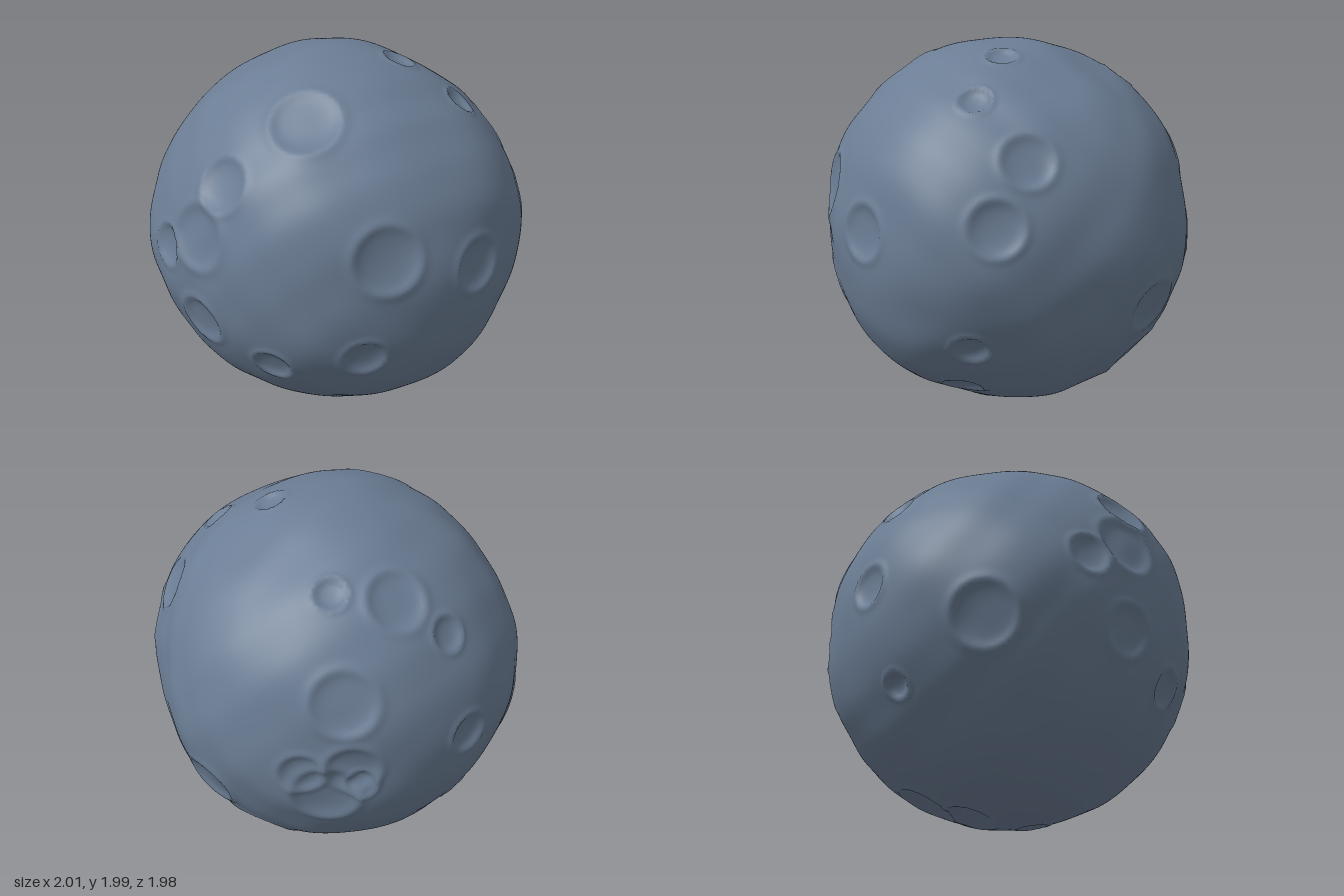
import * as THREE from 'three';
import { mergeVertices } from 'three/addons/utils/BufferGeometryUtils.js';

// Craters: direction from the centre, then radius
const CRATERS = [
  // front
  [0.025, 0.79, 0.585, 0.175], [-0.33, 0.5, 0.78, 0.14], [-0.45, 0.23, 0.84, 0.17],
  [-0.66, 0.1, 0.72, 0.11], [0.5, 0.23, 0.8, 0.175], [0.87, 0.09, 0.45, 0.145],
  [-0.91, -0.25, 0.28, 0.165], [-0.45, -0.24, 0.83, 0.135], [-0.06, -0.4, 0.88, 0.105],
  [0.4, -0.31, 0.83, 0.115],
  // left side
  [0.31, 0.92, -0.08, 0.085], [0.64, 0.74, -0.06, 0.085], [0.74, 0.47, -0.37, 0.14],
  [0.93, 0.18, -0.28, 0.14], [0.84, -0.475, -0.105, 0.1], [0.555, -0.79, 0.05, 0.115],
  [0.14, -0.97, 0.075, 0.085],
  // top and back
  [-0.24, 0.78, -0.54, 0.085], [-0.52, 0.73, -0.39, 0.155], [-0.74, 0.54, -0.29, 0.095],
  [-0.43, 0.36, -0.79, 0.17], [-0.91, 0.03, -0.35, 0.115], [-0.82, -0.49, -0.23, 0.07],
  [0.29, -0.32, -0.89, 0.15], [0.085, -0.67, -0.74, 0.16],
  // underside
  [-0.11, -0.95, -0.46, 0.17], [-0.11, -1, -0.17, 0.135],
  // overlapping cluster
  [-0.27, -0.03, -0.94, 0.12], [-0.5, 0, -0.84, 0.145], [-0.375, -0.17, -0.89, 0.175],
  [-0.54, -0.1, -0.81, 0.08],
].map(([x, y, z, r]) => ({ dir: new THREE.Vector3(x, y, z).normalize(), r }));

// Broad swells and hollows: direction, then height
const LUMPS = [
  [0.82, -0.6, 0.32, 0.032], [0.82, -0.53, -0.2, -0.035], [-0.78, -0.6, 0, -0.025],
  [0.38, 0.87, 0, -0.01], [-0.47, 0.84, 0, -0.012], [0.88, 0.46, 0.12, 0.025],
  [0.5, -0.83, 0, -0.04], [0, 0.45, 0.9, 0.03], [0, 0.85, 0.5, 0.012],
  [0, -0.75, 0.65, -0.02], [0, 0.8, -0.55, -0.015], [0.36, 0.85, -0.42, -0.03],
  [0.66, 0.25, -0.7, -0.03], [0.66, -0.25, -0.7, -0.03], [0.5, 0, 0.82, -0.02],
  [0.8, 0.05, -0.58, -0.025], [0.74, 0.5, -0.38, -0.018], [-0.29, -0.88, -0.37, -0.025],
  [-0.85, 0, 0.52, 0.037], [-0.8, 0, -0.55, -0.016], [-0.37, 0.1, -0.93, -0.027],
  [-0.74, 0.56, -0.29, -0.012], [1, 0, 0, 0.02], [-1, 0.05, 0, 0.015],
  [0, -1, 0, 0.014], [0.25, 0, -0.95, 0.01],
].map(([x, y, z, h]) => ({ dir: new THREE.Vector3(x, y, z).normalize(), h }));

// Gentle surface unevenness
function ripple({ x, y, z }) {
  return 0.004 * Math.sin(7 * x + 3 * y + 1) * Math.sin(6 * y - 4 * z)
    + 0.004 * Math.sin(11 * z + 5 * x) * Math.sin(10 * y - 6 * x + 2)
    + 0.003 * Math.sin(17 * x + 9 * z) * Math.sin(16 * y - 5 * z + 1);
}

// Flat-bottomed bowl with a softly raised rim
function craterHeight(dir, { dir: centre, r }) {
  const t = dir.distanceTo(centre) / r;
  if (t > 1.8) return 0;
  const depth = 0.017 + 0.06 * r;
  const bowl = t < 1 ? -depth * (1 - t ** 2.6) : 0;
  const rim = 0.007 * Math.exp(-(((t - 1.04) / 0.18) ** 2));
  return bowl + rim;
}

function surfaceRadius(dir) {
  let radius = 0.985 + ripple(dir);
  for (const l of LUMPS) radius += l.h * Math.exp(-dir.distanceToSquared(l.dir) / 0.08);
  for (const c of CRATERS) radius += craterHeight(dir, c);
  return radius;
}

export function createModel() {
  const group = new THREE.Group();
  group.name = 'asteroid';

  // Evenly divided sphere, welded so that its normals are smooth
  let geometry = new THREE.IcosahedronGeometry(1, 64);
  geometry.deleteAttribute('uv');
  geometry.deleteAttribute('normal');
  geometry = mergeVertices(geometry, 1e-5);

  const position = geometry.attributes.position;
  const dir = new THREE.Vector3();
  for (let i = 0; i < position.count; i++) {
    dir.fromBufferAttribute(position, i).normalize();
    const radius = surfaceRadius(dir);
    position.setXYZ(i, dir.x * radius, dir.y * radius, dir.z * radius);
  }

  // Centre and stand on the ground
  geometry.center();
  geometry.computeBoundingBox();
  geometry.translate(0, -geometry.boundingBox.min.y, 0);
  geometry.computeVertexNormals();

  const rock = new THREE.MeshStandardMaterial({ color: 0x6b7d94 });
  rock.name = 'blue grey rock';
  const body = new THREE.Mesh(geometry, rock);
  body.name = 'crateredRock';
  group.add(body);
  return group;
}
